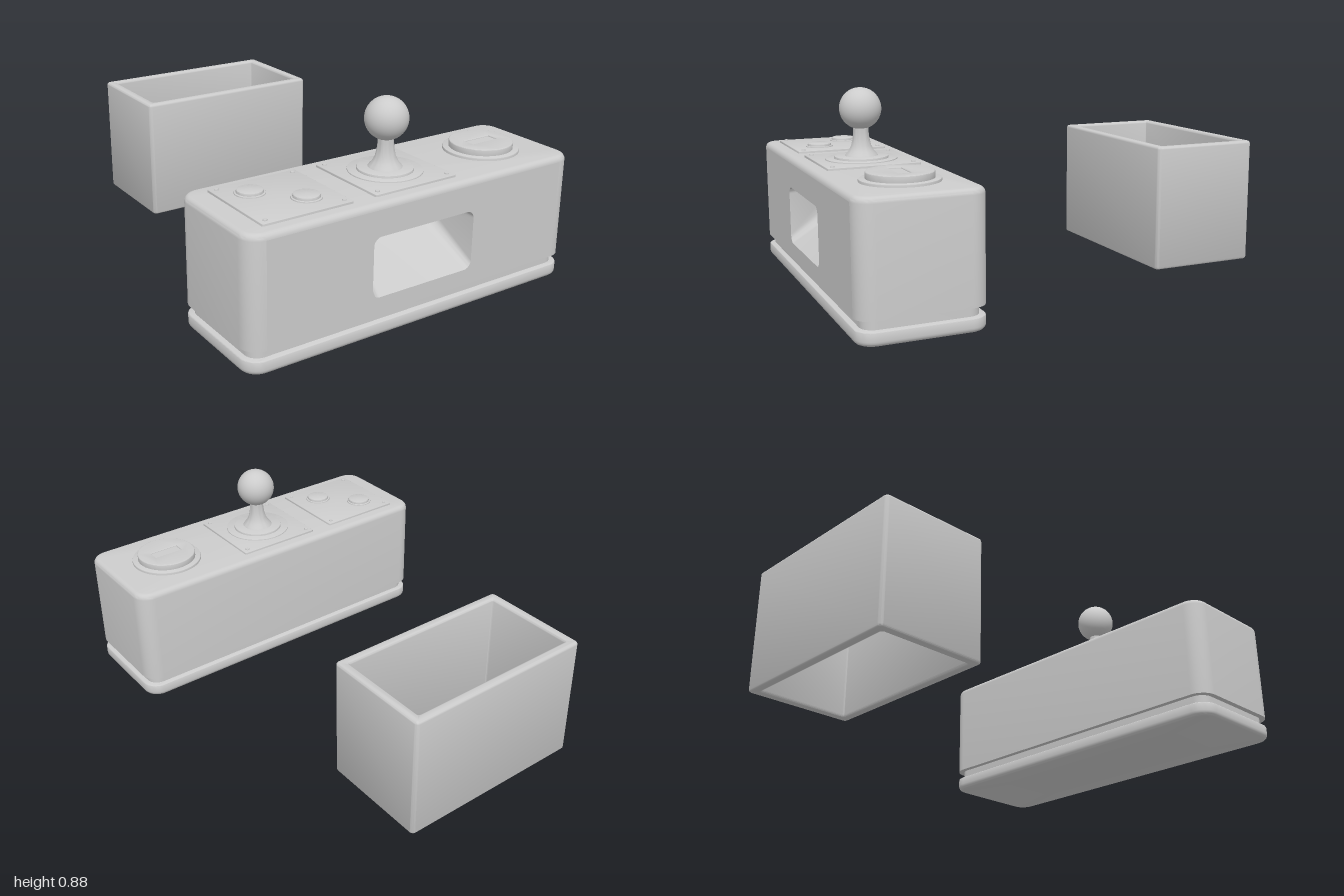
import * as THREE from 'three';
import { toCreasedNormals } from 'three/addons/utils/BufferGeometryUtils.js';

const N = 8; // segments per rounded corner
const ZC = 0.737; // console centre line
const HX = 0.805, HZ = 0.2625, R = 0.075; // console half sizes and corner radius
const grey = new THREE.MeshStandardMaterial({ color: 0xcccccc });
const greyDouble = new THREE.MeshStandardMaterial({ color: 0xcccccc, side: THREE.DoubleSide });

// Counter-clockwise rounded rectangle; r gives the radius of the upper and lower corners
function roundRect(hw, hh, rUp, rLow = rUp, cx = 0, cy = 0) {
  const pts = [];
  [[1, 1], [-1, 1], [-1, -1], [1, -1]].forEach(([sx, sy], k) => {
    const r = sy > 0 ? rUp : rLow;
    for (let i = 0; i <= N; i++) {
      const a = (k + i / N) * Math.PI / 2;
      pts.push(new THREE.Vector2(cx + sx * (hw - r) + r * Math.cos(a), cy + sy * (hh - r) + r * Math.sin(a)));
    }
  });
  return pts;
}

// Skin over matching rings with flat caps; skip(ring, segment) leaves a gap
function loft(rings, { endCap = true, skip = () => false } = {}) {
  const pos = [], n = rings[0].length;
  const tri = (...v) => v.forEach(p => pos.push(p.x, p.y, p.z));
  const mid = ring => ring.reduce((s, p) => s.add(p), new THREE.Vector3()).divideScalar(n);
  for (let j = 0; j < n; j++) {
    const k = (j + 1) % n;
    for (let i = 0; i < rings.length - 1; i++) {
      if (skip(i, j)) continue;
      const lo = rings[i], up = rings[i + 1];
      tri(lo[j], up[j], up[k]);
      tri(lo[j], up[k], lo[k]);
    }
    const first = rings[0], last = rings[rings.length - 1];
    tri(mid(first), first[j], first[k]);
    if (endCap) tri(mid(last), last[k], last[j]);
  }
  const g = new THREE.BufferGeometry();
  g.setAttribute('position', new THREE.Float32BufferAttribute(pos, 3));
  return toCreasedNormals(g, 0.6);
}

// Rounded slab from y0 to y1 with filleted lower and upper edges
function slab(hx, hz, r, y0, y1, fLow, fUp, skip) {
  const levels = [];
  const steps = 5;
  for (let i = 0; i <= steps && fLow; i++) {
    const a = i / steps * Math.PI / 2;
    levels.push([y0 + fLow * (1 - Math.sin(a)), fLow * (1 - Math.cos(a))]);
  }
  levels.reverse();
  if (!fLow) levels.push([y0, 0]);
  for (let i = 0; i <= steps && fUp; i++) {
    const a = i / steps * Math.PI / 2;
    levels.push([y1 - fUp * (1 - Math.sin(a)), fUp * (1 - Math.cos(a))]);
  }
  if (!fUp) levels.push([y1, 0]);
  return loft(levels.map(([y, d]) =>
    roundRect(hx - d, hz - d, Math.max(r - d, 0.001)).map(p => new THREE.Vector3(p.x, y, p.y))), { skip });
}

function add(parent, name, geometry, x = 0, y = 0, z = 0, material = grey) {
  const m = new THREE.Mesh(geometry, material);
  m.name = name;
  m.position.set(x, y, z);
  parent.add(m);
  return m;
}

// Turned part from [radius, height] points
const turned = pts => toCreasedNormals(
  new THREE.LatheGeometry(pts.map(p => new THREE.Vector2(...p)), 48), 0.6);
const disc = (r, h, b = 0.005) => turned([[r, 0], [r, h - b], [r - b * 0.3, h - b * 0.3], [r - b, h], [0, h]]);

// Square plate with a screw in each corner
function plate(parent, name, x) {
  const g = new THREE.Group();
  g.name = name;
  g.position.set(x, 0.558, ZC);
  parent.add(g);
  add(g, 'plate', slab(0.202, 0.202, 0.008, 0, 0.012, 0, 0.003));
  for (const sx of [-1, 1]) for (const sz of [-1, 1])
    add(g, 'screw', disc(0.009, 0.006, 0.003), sx * 0.175, 0.012, sz * 0.175);
  return g;
}

export function createModel() {
  const model = new THREE.Group();
  const consoleBox = new THREE.Group();
  consoleBox.name = 'console';
  model.add(consoleBox);

  // Base, recessed band and main body (front wall is left open for the panel)
  add(consoleBox, 'base', slab(HX, HZ, R, 0, 0.06, 0.022, 0.008), 0, 0, ZC);
  add(consoleBox, 'recessedBand', slab(HX - 0.025, HZ - 0.025, R - 0.02, 0.05, 0.11, 0, 0), 0, 0, ZC);
  add(consoleBox, 'body', slab(HX, HZ, R, 0.1, 0.56, 0, 0.025, (i, j) => i === 0 && j === N), 0, 0, ZC);

  // Front panel with the tray opening
  const px = HX - R;
  const front = new THREE.Shape([[-px, 0.1], [px, 0.1], [px, 0.535], [-px, 0.535]].map(p => new THREE.Vector2(...p)));
  const opening = roundRect(0.252, 0.1275, 0.035, 0.035, 0, 0.2975);
  front.holes.push(new THREE.Path(opening));
  add(consoleBox, 'frontPanel', new THREE.ShapeGeometry(front), 0, 0, ZC + HZ);

  // Tray with a sloping floor
  const back = roundRect(0.217, 0.0575, 0.004, 0.05, 0, 0.3675);
  const at = (pts, z) => pts.map(p => new THREE.Vector3(p.x, p.y, z));
  add(consoleBox, 'tray', loft([at(back, -0.2), at(opening, 0)], { endCap: false }), 0, 0, ZC + HZ, greyDouble);

  // Button plate
  const buttons = plate(consoleBox, 'buttonPlate', -0.507);
  for (const [x, z] of [[-0.082, -0.08], [0.073, 0.075]]) {
    add(buttons, 'buttonCollar', disc(0.062, 0.006, 0.003), x, 0.011, z);
    add(buttons, 'button', disc(0.054, 0.018, 0.008), x, 0.011, z);
  }

  // Joystick
  const stick = plate(consoleBox, 'joystick', 0);
  add(stick, 'outerRing', disc(0.155, 0.006, 0.003), 0, 0.011);
  add(stick, 'innerRing', disc(0.117, 0.016), 0, 0.011);
  add(stick, 'shaft', turned([[0.072, 0.025], [0.066, 0.034], [0.054, 0.048], [0.043, 0.07],
    [0.036, 0.1], [0.033, 0.13], [0.033, 0.17]]));
  add(stick, 'ball', new THREE.SphereGeometry(0.09, 40, 28), 0, 0.23);

  // Large round button with a shallow slot
  const big = new THREE.Group();
  big.name = 'largeButton';
  big.position.set(0.522, 0.558, ZC);
  consoleBox.add(big);
  add(big, 'flange', disc(0.163, 0.014), 0, 0, 0);
  const cap = new THREE.Shape().absarc(0, 0, 0.132, 0, Math.PI * 2);
  cap.holes.push(new THREE.Path(roundRect(0.073, 0.031, 0.002)));
  const capGeo = new THREE.ExtrudeGeometry(cap, {
    depth: 0.034, bevelThickness: 0.004, bevelSize: 0.004, bevelSegments: 3, curveSegments: 40 });
  capGeo.rotateX(-Math.PI / 2);
  add(big, 'cap', toCreasedNormals(capGeo, 0.6), 0, 0.004, 0);
  add(big, 'slotFloor', new THREE.BoxGeometry(0.15, 0.024, 0.066), 0, 0.024, 0);

  // Open bin behind the console, a plain rectangular sleeve
  const b = 0.012;
  const rim = new THREE.Shape(roundRect(0.445 - b, 0.253 - b, 0.008));
  rim.holes.push(new THREE.Path(roundRect(0.403 + b, 0.211 + b, 0.02)));
  const sleeve = new THREE.ExtrudeGeometry(rim, {
    depth: 0.563 - 2 * b, bevelThickness: b, bevelSize: b, bevelSegments: 4 });
  sleeve.rotateX(-Math.PI / 2);
  add(model, 'bin', toCreasedNormals(sleeve, 0.6), 0, 0.037 + b, -0.747);

  return model;
}
